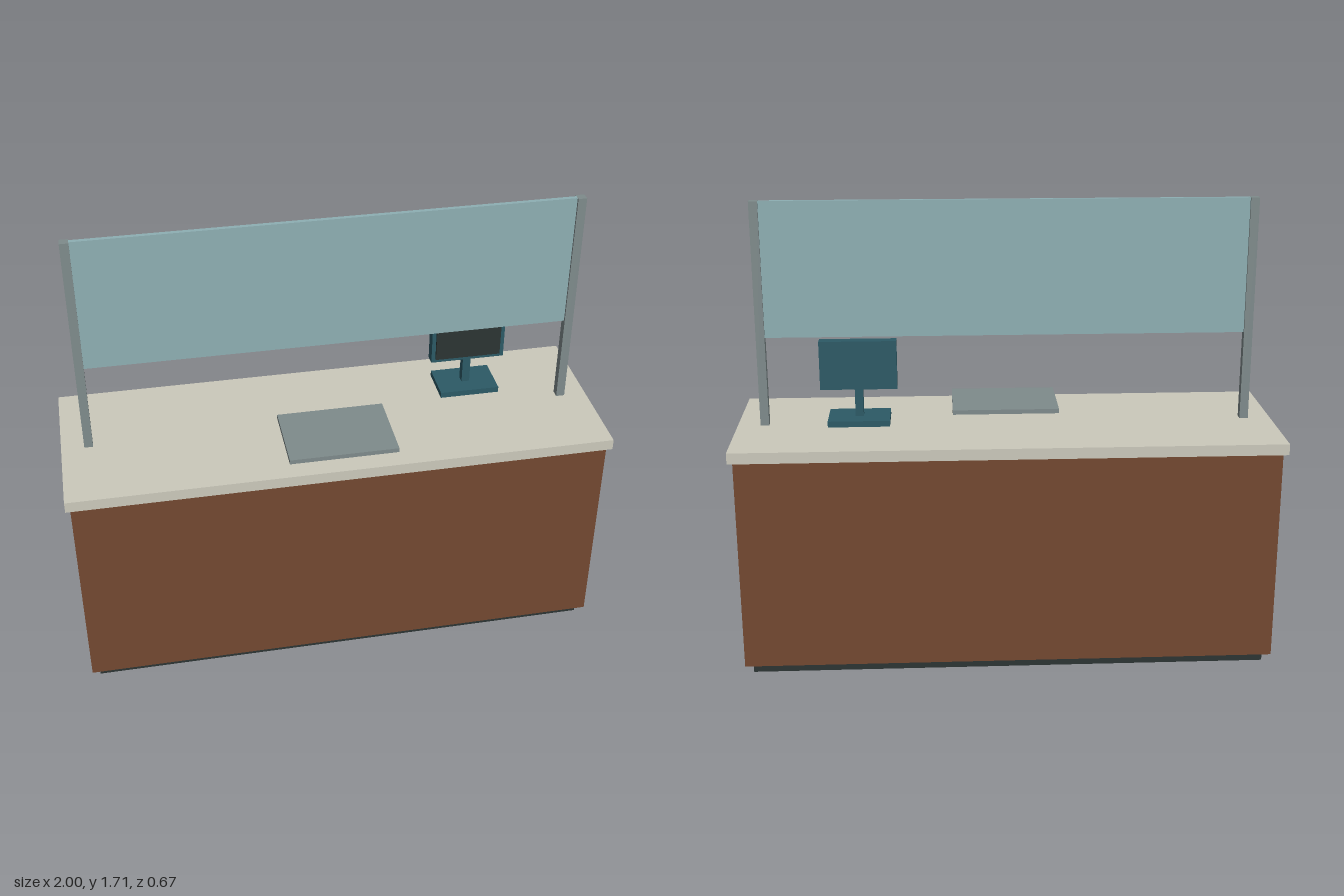
import * as THREE from 'three';

const material = (name, color) => {
  const m = new THREE.MeshStandardMaterial({ color });
  m.name = name;
  return m;
};

export function createModel() {
  const model = new THREE.Group();
  model.name = 'serviceCounter';

  const wood = material('brown wood', 0x734830);
  const stone = material('pale stone', 0xcbc9bb);
  const dark = material('near black', 0x2c3433);
  const metal = material('grey metal', 0x7f8b8c);
  const glass = material('blue grey glass', 0x8eafb3);
  const teal = material('dark teal', 0x2c5a66);

  // Box from its minimum and maximum on each axis
  const box = (parent, name, mat, [x0, x1], [y0, y1], [z0, z1]) => {
    const mesh = new THREE.Mesh(new THREE.BoxGeometry(x1 - x0, y1 - y0, z1 - z0), mat);
    mesh.position.set((x0 + x1) / 2, (y0 + y1) / 2, (z0 + z1) / 2);
    mesh.name = name;
    parent.add(mesh);
  };

  // Counter: recessed plinth, cabinet and overhanging top
  box(model, 'plinth', dark, [-0.955, 0.955], [0, 0.036], [-0.29, 0.29]);
  box(model, 'cabinet', wood, [-0.983, 0.983], [0.036, 0.836], [-0.316, 0.316]);
  box(model, 'counterTop', stone, [-1, 1], [0.836, 0.877], [-0.333, 0.333]);

  // Glass screen between two posts
  for (const [name, x] of [['leftPost', 0.9], ['rightPost', -0.9]]) {
    box(model, name, metal, [x - 0.016, x + 0.016], [0.877, 1.71], [-0.016, 0.016]);
  }
  box(model, 'glassScreen', glass, [-0.884, 0.884], [1.21, 1.71], [-0.008, 0.008]);

  // Flat tray, raised slightly above the top
  box(model, 'tray', metal, [-0.2, 0.2], [0.902, 0.919], [0, 0.29]);

  // Monitor on its stand
  const monitor = new THREE.Group();
  monitor.name = 'monitor';
  model.add(monitor);
  box(monitor, 'monitorBase', teal, [0.43, 0.655], [0.912, 0.934], [-0.163, -0.005]);
  box(monitor, 'monitorStem', teal, [0.527, 0.557], [0.934, 1.037], [-0.1, -0.068]);
  box(monitor, 'monitorCase', teal, [0.402, 0.682], [1.037, 1.217], [-0.105, -0.063]);
  box(monitor, 'monitorDisplay', dark, [0.417, 0.665], [1.053, 1.199], [-0.063, -0.054]);

  return model;
}
